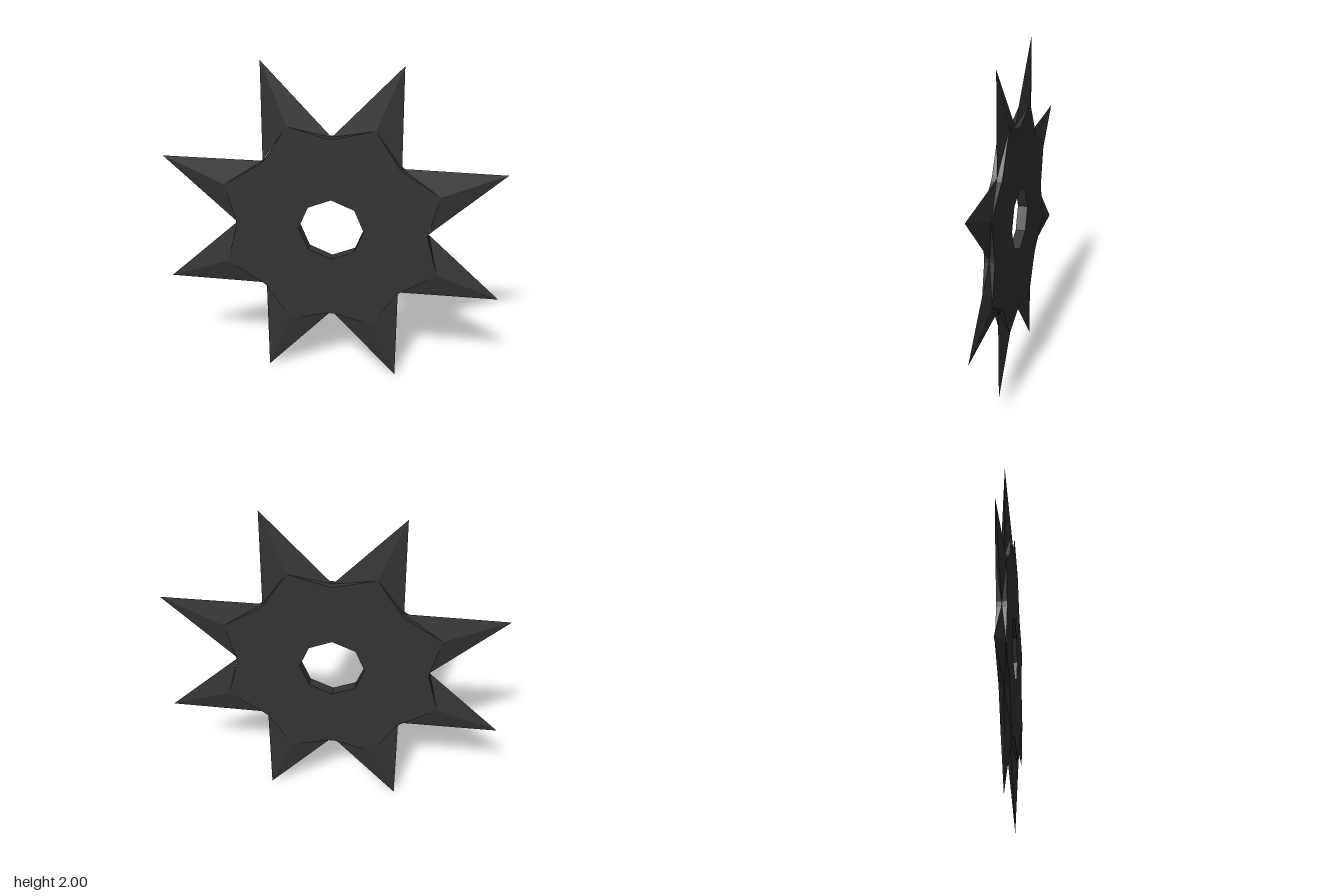
import * as THREE from 'three';

const HALF = 0.03;                       // half thickness of the plate
const TIP_ANGLE = Math.atan2(0.4, 1);    // offset of each point from the nearest axis
const TIP_R = Math.hypot(0.4, 1);
const RIDGE_R = 0.68;                    // where the flat face meets a point's ridge
const VALLEY_R = 0.57;
const HOLE_R = 0.193;

const polar = (r, a) => new THREE.Vector2(r * Math.cos(a), r * Math.sin(a));

// Angle of point i, lying between valley i and valley i + 1 (valleys every 45 degrees)
const tipAngle = (i) => {
  const quarter = Math.floor(i / 2) * Math.PI / 2;
  return i % 2 ? quarter + Math.PI / 2 - TIP_ANGLE : quarter + TIP_ANGLE;
};
const valleyAngle = (i) => i * Math.PI / 4;

// Flat star-shaped plate with an octagonal hole
function plateGeometry() {
  const outline = [];
  for (let i = 0; i < 8; i++) {
    outline.push(polar(VALLEY_R, valleyAngle(i) - 0.03));
    outline.push(polar(VALLEY_R, valleyAngle(i) + 0.03));
    outline.push(polar(RIDGE_R, tipAngle(i)));
  }
  const shape = new THREE.Shape(outline);
  const hole = [];
  for (let i = 0; i < 8; i++) hole.push(polar(HOLE_R, -valleyAngle(i)));
  shape.holes.push(new THREE.Path(hole));
  const geo = new THREE.ExtrudeGeometry(shape, { depth: 2 * HALF, bevelEnabled: false });
  return geo.translate(0, 0, -HALF);
}

// Four-sided spike tapering from a diamond base to a sharp tip
function spikeGeometry(i) {
  const at = (p, z) => new THREE.Vector3(p.x, p.y, z);
  const tip = at(polar(TIP_R, tipAngle(i)), 0);
  const ridge = polar(RIDGE_R, tipAngle(i));
  const base = [
    at(polar(VALLEY_R, valleyAngle(i + 1)), 0),
    at(ridge, HALF),
    at(polar(VALLEY_R, valleyAngle(i)), 0),
    at(ridge, -HALF),
  ];
  const points = [];
  base.forEach((p, k) => points.push(tip, p, base[(k + 1) % 4]));
  const geo = new THREE.BufferGeometry().setFromPoints(points);
  geo.computeVertexNormals();
  return geo;
}

export function createModel() {
  const model = new THREE.Group();
  model.name = 'throwingStar';
  const steel = new THREE.MeshStandardMaterial({ color: 0x333333, flatShading: true, side: THREE.DoubleSide });

  const add = (geo, name) => {
    const mesh = new THREE.Mesh(geo, steel);
    mesh.name = name;
    mesh.position.y = 1;
    model.add(mesh);
  };

  add(plateGeometry(), 'plate');
  for (let i = 0; i < 8; i++) add(spikeGeometry(i), `spike${i + 1}`);
  return model;
}
